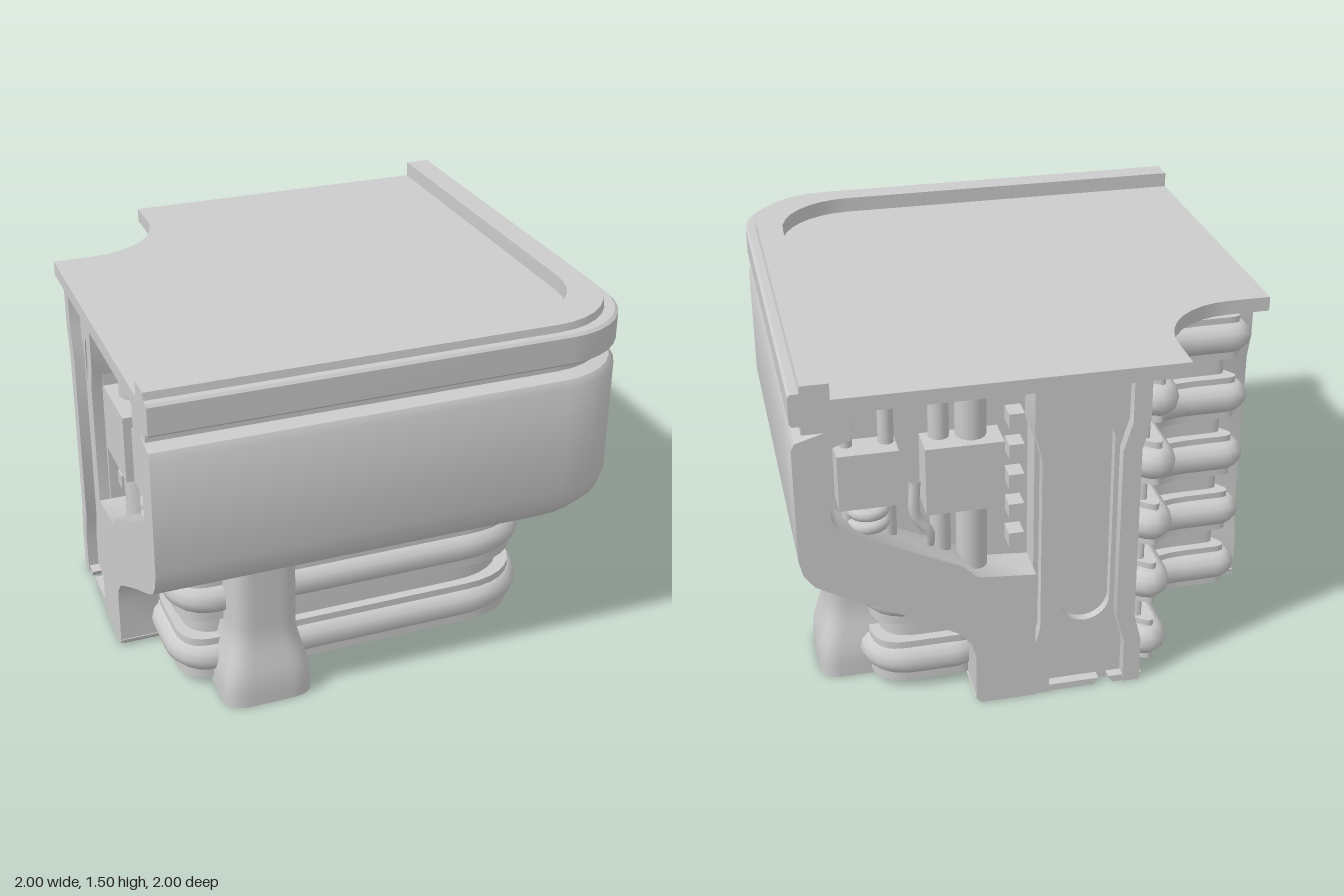
import * as THREE from 'three';
import { toCreasedNormals } from 'three/addons/utils/BufferGeometryUtils.js';

const V3 = (x, y, z) => new THREE.Vector3(x, y, z);

export function createModel() {
  const model = new THREE.Group();
  model.name = 'cornerModule';
  const mat = new THREE.MeshStandardMaterial({ color: 0xcccccc });

  function add(parent, name, geo, crease = 0.6) {
    const mesh = new THREE.Mesh(crease ? toCreasedNormals(geo, crease) : geo, mat);
    mesh.name = name;
    parent.add(mesh);
    return mesh;
  }

  // Sweep a closed counter-clockwise (offset, height) profile round the L-shaped corner
  function sweep(profile, end = 1, arc = 8) {
    const pos = [], idx = [], n = profile.length, r = 0.33;
    for (let i = -1; i <= arc + 1; i++) {
      for (const [d, y] of profile) {
        const a = (Math.min(Math.max(i, 0), arc) / arc) * Math.PI / 2;
        if (i < 0) pos.push(-end, y, d);
        else if (i > arc) pos.push(d, y, -end);
        else pos.push(d - r + r * Math.sin(a), y, d - r + r * Math.cos(a));
      }
    }
    for (let i = 0; i < arc + 2; i++) {
      for (let j = 0; j < n; j++) {
        const k = (j + 1) % n, a = i * n, b = a + n;
        idx.push(a + j, b + j, b + k, a + j, b + k, a + k);
      }
    }
    const last = (arc + 2) * n;
    const caps = THREE.ShapeUtils.triangulateShape(profile.map(p => new THREE.Vector2(...p)), []);
    for (const [a, b, c] of caps) idx.push(a, b, c, last + a, last + c, last + b);
    const g = new THREE.BufferGeometry();
    g.setAttribute('position', new THREE.Float32BufferAttribute(pos, 3));
    g.setIndex(idx);
    return g.toNonIndexed();
  }

  // Closed plan outline from corners [x, z, rounding]
  function loop(corners) {
    const path = new THREE.CurvePath(), n = corners.length;
    const pt = i => V3(corners[i % n][0], 0, corners[i % n][1]);
    const toward = (i, j) => pt(i).add(pt(j).sub(pt(i)).setLength(corners[i % n][2]));
    for (let i = 0; i < n; i++) {
      path.add(new THREE.QuadraticBezierCurve3(toward(i, i + n - 1), pt(i), toward(i, i + 1)));
      path.add(new THREE.LineCurve3(toward(i, i + 1), toward(i + 1, i)));
    }
    return path;
  }
  function prism(path, y0, y1, steps = 1) {
    const pts = path.getPoints(8).map(p => new THREE.Vector2(p.x, -p.z));
    pts.pop();
    const g = new THREE.ExtrudeGeometry(new THREE.Shape(pts), { depth: y1 - y0, bevelEnabled: false, steps });
    return g.rotateX(-Math.PI / 2).translate(0, y0, 0);
  }

  // Top plate with its raised edge rim
  add(model, 'topPlateAndRim', sweep([[-0.5, 1.37], [0.78, 1.37], [0.78, 1.3], [0.96, 1.3], [0.96, 1.335],
    [0.99, 1.335], [1, 1.345], [1, 1.455], [0.99, 1.465], [0.96, 1.465], [0.955, 1.495], [0.85, 1.495],
    [0.85, 1.43], [-0.5, 1.43]]));

  // Outer wall shell, inner core and underside strips
  add(model, 'outerWall', sweep([[0.45, 0.5], [0.66, 0.5], [0.87, 0.605], [0.945, 0.65], [0.985, 0.705], [1, 0.77],
    [1, 1.24], [0.985, 1.268], [0.86, 1.305], [0.78, 1.305], [0.78, 1.26], [0.87, 1.24], [0.87, 0.85], [0.45, 0.6]]), 0.7);
  add(model, 'innerCore', sweep([[-0.33, 0.03], [0.3, 0.03], [0.3, 0.52], [0.88, 0.8], [0.88, 1.3], [0.79, 1.37], [-0.33, 1.37]], 0.84));
  for (const [a, b] of [[-0.36, -0.22], [-0.18, 0.335]])
    add(model, 'undersideStrip', sweep([[a + 0.02, 0], [b - 0.02, 0], [b, 0.03], [a, 0.03]], 0.99));

  // Ribbed blocks: outer base (2 tubes) and inner corner stack (5 tubes)
  const baseLoop = o => loop([[-0.79 - o, 0.67 + o, 0.14], [0.67 + o, 0.67 + o, 0.3], [0.67 + o, -0.79 - o, 0.14],
    [0.33 - o, -0.79 - o, 0.08], [0.33 - o, 0.33 - o, 0.1], [-0.79 - o, 0.33 - o, 0.08]]);
  const innerLoop = o => loop([[-0.4 - o, -0.9 - o, 0.08], [-0.4 - o, -0.4 - o, 0.28], [-0.9 - o, -0.4 - o, 0.08],
    [-0.77, -0.28 + o, 0.06], [-0.22 + o, -0.22 + o, 0.1], [-0.28 + o, -0.77, 0.06]]);
  function ribbed(name, outline, count, top, tubeOffset) {
    const g = new THREE.Group();
    g.name = name;
    model.add(g);
    add(g, 'block', prism(outline(0), 0.03, top));
    for (let i = 0; i < count; i++) {
      const y = 0.13 + i * 0.277;
      add(g, 'collar', prism(outline(0.04), y - 0.1, y + 0.09));
      add(g, 'tube', new THREE.TubeGeometry(outline(tubeOffset), 160, 0.066, 12, true).translate(0, y, 0), 0);
    }
  }
  ribbed('ribbedBase', baseLoop, 2, 0.5, 0.017);
  ribbed('ribbedInnerStack', innerLoop, 5, 1.37, 0.03);

  // One arm's parts, made for the z = -1 end; the other arm is its mirror across the diagonal
  function plate(outline, z0, z1, hole) {
    const s = new THREE.Shape(outline.map(p => new THREE.Vector2(...p)));
    if (hole) s.holes.push(hole);
    return new THREE.ExtrudeGeometry(s, { depth: z1 - z0, bevelEnabled: false, curveSegments: 10 }).translate(0, 0, z0);
  }
  function arm(name) {
    const g = new THREE.Group();
    g.name = name;
    model.add(g);

    // End frame below and beside the service bay
    add(g, 'endFrame', plate([[0.09, 0], [0.31, 0], [0.33, 0.02], [0.33, 0.22], [0.345, 0.29], [0.4, 0.35], [0.62, 0.475],
      [0.87, 0.605], [0.945, 0.65], [0.985, 0.705], [1, 0.77], [1, 1.24], [0.985, 1.268], [0.86, 1.305], [0.78, 1.305],
      [0.78, 1.26], [0.87, 1.23], [0.87, 0.93], [0.84, 0.88], [0.38, 0.66], [0.32, 0.6], [0.09, 0.58]], -1, -0.83), 0.7);

    // Slotted column panel between two pinched ribs
    const slot = new THREE.Path();
    slot.absarc(-0.125, 1.12, 0.1, 0, Math.PI, false);
    slot.absarc(-0.125, 0.4, 0.1, Math.PI, Math.PI * 2, false);
    add(g, 'slottedPanel', plate([[-0.3, 0], [0.09, 0], [0.09, 1.37], [-0.3, 1.37]], -0.95, -0.83, slot));
    add(g, 'slotBack', new THREE.BoxGeometry(0.34, 1.3, 0.07).translate(-0.12, 0.7, -0.88));
    for (const s of [-1, 1]) {
      const x = w => -0.125 + s * w;
      const outline = [[x(0.155), 0], [x(0.225), 0], [x(0.225), 0.2], [x(0.195), 0.32], [x(0.195), 1.08], [x(0.225), 1.2],
        [x(0.225), 1.37], [x(0.155), 1.37], [x(0.155), 1.2], [x(0.12), 1.08], [x(0.12), 0.32], [x(0.155), 0.2]];
      add(g, 'columnRib', plate(outline, -0.995, -0.83));
    }

    // Service bay: pipes, boxes, coil and ladder clips
    const pipe = (px, r, y0, y1, z) =>
      add(g, 'bayPipe', new THREE.CylinderGeometry(r, r, y1 - y0, 14).translate(px, (y0 + y1) / 2, z));
    pipe(0.44, 0.04, 0.64, 1.37, -0.87);
    pipe(0.32, 0.06, 0.56, 1.37, -0.88);
    pipe(0.79, 0.025, 0.86, 1.37, -0.88);
    pipe(0.64, 0.03, 0.76, 1.37, -0.88);
    add(g, 'junctionBox', new THREE.BoxGeometry(0.3, 0.28, 0.15).translate(0.36, 1.03, -0.9));
    add(g, 'smallBox', new THREE.BoxGeometry(0.23, 0.23, 0.13).translate(0.72, 1.06, -0.9));
    for (let i = 0; i < 2; i++)
      add(g, 'coilRing', new THREE.TorusGeometry(0.06, 0.025, 8, 18).rotateX(Math.PI / 2).translate(0.72, 0.85 + i * 0.055, -0.89), 0);
    const bend = new THREE.CatmullRomCurve3([V3(0.54, 1, -0.9), V3(0.54, 0.85, -0.9), V3(0.49, 0.77, -0.9), V3(0.49, 0.68, -0.88)]);
    add(g, 'bentPipe', new THREE.TubeGeometry(bend, 16, 0.022, 8), 0);
    for (let i = 0; i < 5; i++)
      add(g, 'bayClip', new THREE.BoxGeometry(0.06, 0.06, 0.08).translate(0.15, 0.7 + i * 0.13, -0.88));

    // Flared foot under the outer wall
    const foot = prism(loop([[0.55, -0.66, 0.03], [0.87, -0.66, 0.08], [0.87, -0.39, 0.08], [0.55, -0.39, 0.03]]), 0, 0.61, 16);
    const p = foot.attributes.position;
    for (let i = 0; i < p.count; i++) {
      const t = 1 - THREE.MathUtils.smoothstep(p.getY(i), 0.07, 0.32);
      p.setX(i, p.getX(i) + 0.045 * t * (p.getX(i) > 0.7 ? 1 : 0));
      p.setZ(i, -0.525 + (p.getZ(i) + 0.525) * (1 + 0.36 * t));
    }
    add(g, 'flaredFoot', foot, 0.7);
    return g;
  }
  arm('rightArm');
  const other = arm('leftArm');
  other.rotation.y = Math.PI / 2;
  other.scale.x = -1;

  return model;
}
